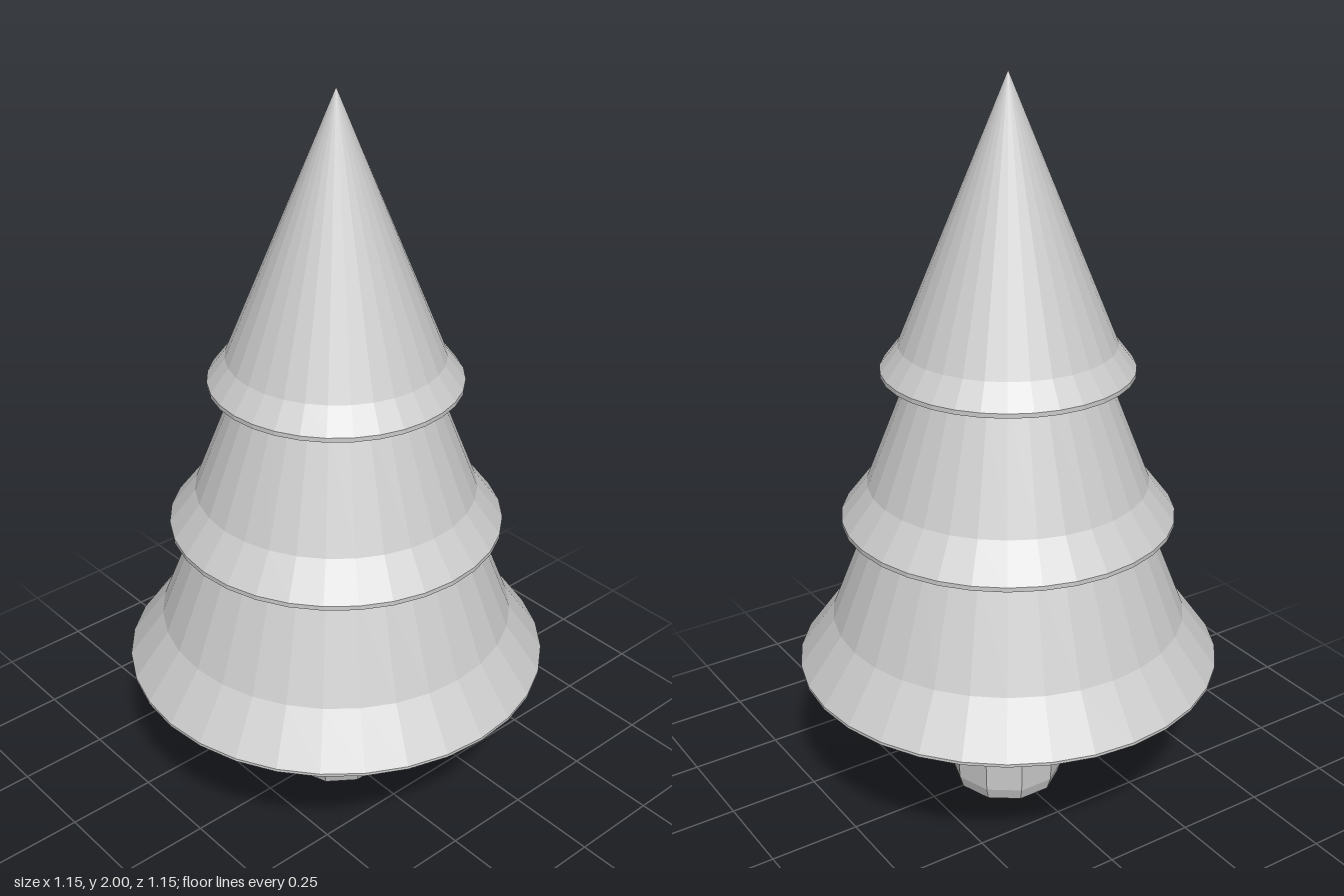
import * as THREE from 'three';

const material = new THREE.MeshStandardMaterial({ color: 0xcccccc, flatShading: true });

// Spins a bottom-to-top profile of [radius, height] pairs around the y axis.
function turned(name, profile, sides) {
  const points = profile.map(([r, y]) => new THREE.Vector2(r, y));
  const mesh = new THREE.Mesh(new THREE.LatheGeometry(points, sides), material);
  mesh.name = name;
  return mesh;
}

export function createModel() {
  const tree = new THREE.Group();
  tree.name = 'tree';

  // Three flared tiers in one skin, with a hollow under the lowest skirt
  tree.add(turned('foliage', [
    [0, 0.54], [0.376, 0.54], [0.518, 0.405],                  // hollow underside
    [0.575, 0.405], [0.575, 0.413], [0.48, 0.545], [0.37, 0.825],   // lower tier
    [0.446, 0.825], [0.446, 0.837], [0.375, 0.93], [0.255, 1.235],  // middle tier
    [0.332, 1.235], [0.332, 1.247], [0.284, 1.31], [0, 2],          // top tier
  ], 32));

  // Ten-sided trunk with a tapered foot
  const trunk = turned('trunk', [
    [0, 0], [0.147, 0], [0.158, 0.035], [0.162, 0.12], [0.163, 0.54],
  ], 10);
  trunk.position.set(-0.003, 0, -0.007);
  tree.add(trunk);

  return tree;
}
